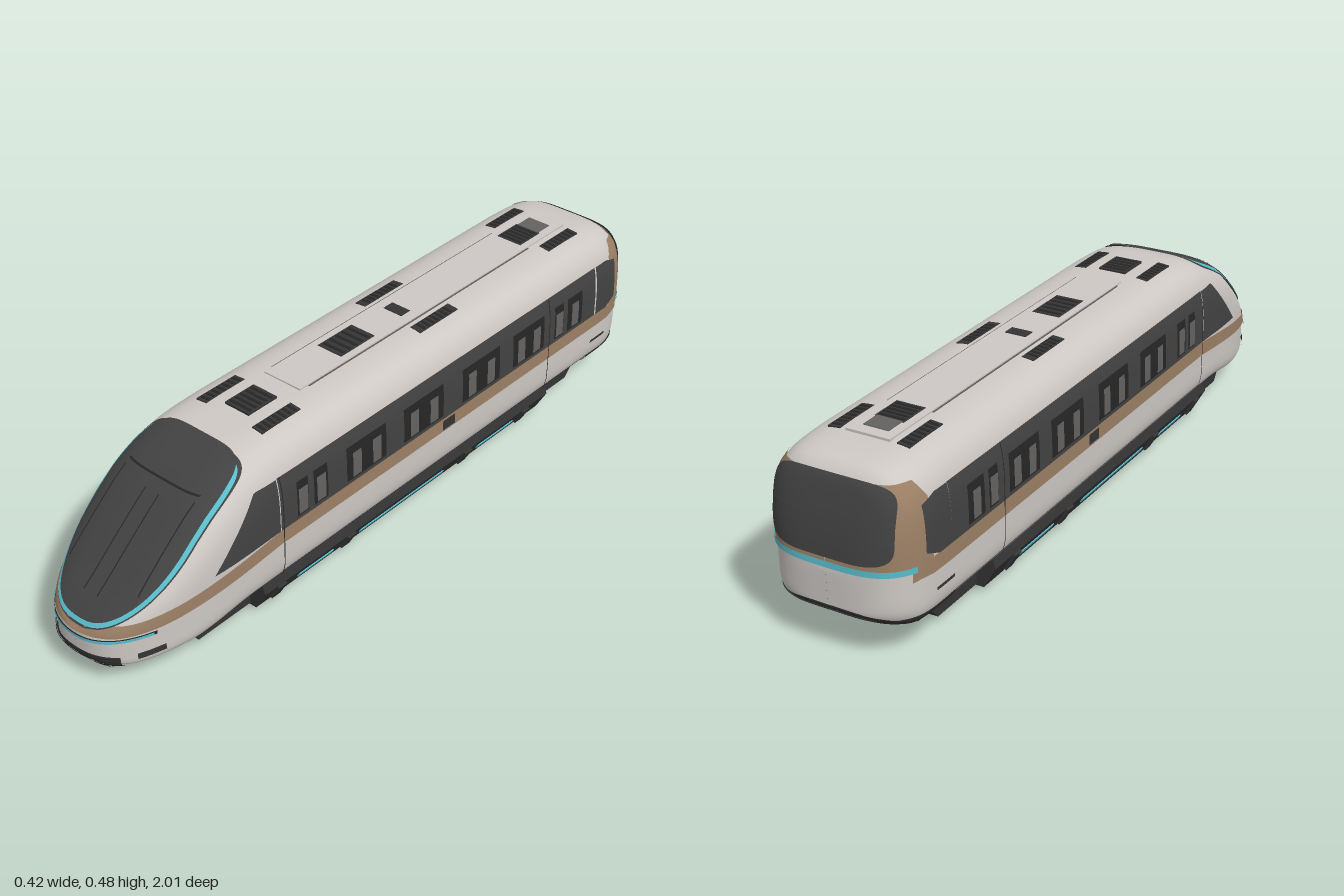
import * as THREE from 'three';
import { ParametricGeometry } from 'three/addons/geometries/ParametricGeometry.js';

const paint = (name, color) => {
  const m = new THREE.MeshStandardMaterial({ color, side: THREE.DoubleSide });
  m.name = name;
  return m;
};

// Smooth monotone curve through [z, value] pairs with ascending z
function curve(pts) {
  const d = pts.slice(1).map((p, i) => (p[1] - pts[i][1]) / (p[0] - pts[i][0]));
  const m = pts.map((p, i) => {
    if (i === 0) return d[0];
    if (i === d.length) return d[i - 1];
    return d[i - 1] * d[i] <= 0 ? 0 : (2 * d[i - 1] * d[i]) / (d[i - 1] + d[i]);
  });
  return z => {
    if (z <= pts[0][0]) return pts[0][1];
    for (let i = 0; i < d.length; i++) {
      const [a, ya] = pts[i], [b, yb] = pts[i + 1];
      if (z > b) continue;
      const h = b - a, t = (z - a) / h, s = 1 - t;
      return ya * (1 + 2 * t) * s * s + h * m[i] * t * s * s + yb * t * t * (3 - 2 * t) - h * m[i + 1] * t * t * s;
    }
    return pts[pts.length - 1][1];
  };
}

// Hull: roof line, floor line and half width along z, with rounded sections
const roof = curve([[-1, .22], [-.99, .3], [-.975, .37], [-.95, .438], [-.92, .463], [-.85, .474], [-.75, .478],
  [.4, .478], [.53, .472], [.6, .453], [.7, .405], [.8, .328], [.9, .243], [.97, .185], [1, .15]]);
const floor = curve([[-1, .13], [-.99, .118], [-.975, .108], [-.95, .095], [-.9, .08], [.6, .08], [.8, .06],
  [.93, .06], [.97, .067], [1, .085]]);
const width = z => {
  let k = 1;
  if (z > .58) k = Math.max(0, 1 - ((z - .58) / .42) ** 2.5) ** .4;
  if (z < -.82) k = Math.max(0, 1 - ((-.82 - z) / .18) ** 3) ** (1 / 3);
  return Math.max(1e-4, .2 * k);
};
const middle = z => floor(z) + .35 * (roof(z) - floor(z));
const rise = (z, y) => (y > middle(z) ? (y - middle(z)) / (roof(z) - middle(z)) : (y - middle(z)) / (middle(z) - floor(z)));
const power = t => (t > 0 ? 4.2 : 6);
const sideX = (z, y) => {
  const t = rise(z, y), n = power(t);
  return width(z) * Math.max(0, 1 - Math.abs(t) ** n) ** (1 / n);
};
const field = (x, y, z) => {
  const t = rise(z, y), n = power(t);
  return Math.abs(x / width(z)) ** n + Math.abs(t) ** n - 1;
};
// Position of the skin along z for a given x, y
function endZ(x, y, inside, outside) {
  for (let i = 0; i < 40; i++) {
    const mid = (inside + outside) / 2;
    if (field(x, y, mid) < 0) inside = mid; else outside = mid;
  }
  return inside;
}
// Lift a skin point off the hull along its normal (straight out at the blunt tips)
function lift(target, x, y, z, off) {
  const e = 1e-4;
  if (Math.abs(z) > .988) target.set(0, 0, Math.sign(z));
  else target.set(field(x + e, y, z) - field(x - e, y, z), field(x, y + e, z) - field(x, y - e, z),
    field(x, y, z + e) - field(x, y, z - e)).normalize();
  target.multiplyScalar(off);
  target.x += x; target.y += y; target.z += z;
}
const spow = (c, p) => Math.sign(c) * Math.abs(c) ** p;

export function createModel() {
  const model = new THREE.Group();
  model.name = 'railcar';
  const white = paint('warmWhite', 0xcdc8c4), tan = paint('tan', 0x9c8066), cyan = paint('cyan', 0x58bccb),
    glass = paint('darkGlass', 0x424242), under = paint('underbodyGrey', 0x343434),
    black = paint('black', 0x262626), grey = paint('paneGrey', 0x646260);

  const add = (name, geo, mat) => {
    const mesh = new THREE.Mesh(geo, mat);
    mesh.name = name;
    model.add(mesh);
    return mesh;
  };
  const surface = (name, mat, nu, nv, fn) => {
    const g = new ParametricGeometry(fn, nu, nv);
    g.computeVertexNormals();
    return add(name, g, mat);
  };
  const box = (name, mat, w, h, d, x, y, z) => {
    const m = add(name, new THREE.BoxGeometry(w, h, d), mat);
    m.position.set(x, y, z);
    return m;
  };
  // Panel on both flanks; end = 1 or -1 wraps it round to the centre of that end
  const flank = (name, mat, z0, z1, lo, hi, off = .003, end = 0, nu = 24) => {
    for (const s of [1, -1]) surface(name, mat, nu, 8, (u, v, p) => {
      const k = end ? Math.sin(u * Math.PI / 2) : u;
      const zg = THREE.MathUtils.lerp(z0, z1, k);
      const a = typeof lo === 'function' ? lo(zg) : lo, b = typeof hi === 'function' ? hi(zg) : hi;
      const y = a + (b - a) * v;
      const z = end ? THREE.MathUtils.lerp(z0, endZ(0, y, end * .5, end), k) : zg;
      lift(p, s * sideX(z, y), y, z, off);
    });
  };
  // Rounded panel on the front or rear skin
  const oval = (name, mat, hw, top, mid, bottom, nTop, nBot, off, inside, outside) =>
    surface(name, mat, 18, 96, (u, v, p) => {
      const a = v * Math.PI * 2, n = Math.sin(a) > 0 ? nTop : nBot;
      const x = u * hw * spow(Math.cos(a), 2 / n);
      const y = mid + u * (Math.sin(a) > 0 ? top - mid : mid - bottom) * spow(Math.sin(a), 2 / n);
      lift(p, x, y, endZ(x, y, inside, outside), off);
    });
  // Four-sided panel on the front skin
  const nose = (name, mat, x0, x1, yLo, yHi, off, inside = .4, bend = 0) =>
    surface(name, mat, 40, 10, (u, v, p) => {
      const x = x0 + (x1 - x0) * u, y = yLo + (yHi - yLo) * v + bend * x * x;
      lift(p, x, y, endZ(x, y, inside, 1), off);
    });

  // Hull shell and dark belly
  const shell = (name, mat, a0, a1, nu) => surface(name, mat, nu, 130, (u, v, p) => {
    const z = Math.sin((v - .5) * Math.PI), a = a0 + (a1 - a0) * u, sn = Math.sin(a), n = power(sn);
    const t = spow(sn, 2 / n), m = middle(z);
    p.set(width(z) * spow(Math.cos(a), 2 / n), m + t * (t > 0 ? roof(z) - m : m - floor(z)), z);
  });
  const split = Math.asin(.86 ** 3);
  shell('bodyShell', white, -split, Math.PI + split, 84);
  shell('belly', under, Math.PI + split, 2 * Math.PI - split, 24);
  flank('tailBelly', under, -.78, -1, .095, .118, .003, -1, 40);

  // Waist stripe sweeping into the nose
  const stripe = curve([[.5, .23], [.75, .207], [.9, .184], [.97, .167], [1, .16]]);
  const stripeHalf = curve([[.5, .021], [.85, .02], [1, .01]]);
  flank('waistStripe', tan, -.93, .5, .208, .25, .003);
  flank('noseStripe', tan, .5, 1, z => stripe(z) - stripeHalf(z), z => stripe(z) + .02, .003, 1, 48);

  // Windscreen with dark edge, coloured rim, panel lines and head display
  oval('windscreenEdge', glass, .165, .466, .34, .162, 4.5, 2.4, .0035, .5, 1);
  oval('windscreenRim', cyan, .162, .463, .34, .165, 4.5, 2.4, .005, .5, 1);
  oval('windscreen', glass, .153, .468, .34, .174, 4.5, 2.4, .007, .5, 1);
  for (const s of [1, -1]) {
    nose('windscreenLine', black, s * .021, s * .024, .215, .39, .009);
    nose('windscreenLine', black, s * .114, s * .117, .24, .4, .009);
  }
  nose('displayEdge', black, -.117, .117, .408, .411, .009);

  // Nose light line, grille and corner intakes
  nose('noseSlit', black, -.158, .158, .134, .144, .004, .8, .75);
  nose('noseLightLine', cyan, -.155, .155, .135, .1425, .006, .8, .75);
  nose('grille', under, -.11, .11, .067, .1, .004, .85);
  for (let i = 0; i < 4; i++) nose('grilleSlat', black, -.108, .108, .07 + i * .008, .073 + i * .008, .007, .85);
  for (const s of [1, -1]) nose('cornerIntake', under, s * .135, s * .165, .073, .09, .004, .8, .9);

  // Side glazing
  flank('cabSideWindow', glass, .509, .725, z => .25 - (z - .509) * .03,
    z => Math.min(.398, .245 + (.725 - z) * 1.05), .004);
  flank('windowBand', glass, -.797, .506, .25, .4, .004, 0, 50);
  flank('rearQuarterWindow', glass, -.895, -.8, z => .252 + Math.max(0, -.85 - z) * .4,
    z => .4 - Math.max(0, -.85 - z) * .3, .006);
  const panes = [[.45, .41], [.39, .34], [.27, .12], [.05, -.11], [-.19, -.35], [-.41, -.55], [-.6, -.64], [-.66, -.73]];
  for (const [a, b] of panes) {
    flank('windowPane', black, b, a, .262, .362, .006, 0, 6);
    // Seats seen through the pane
    const n = a - b > .1 ? 2 : 1;
    for (let i = 0; i < n; i++) {
      const c = b + (a - b) * (i + .5) / n;
      flank('seatBack', grey, c - .016, c + .016, .268, .34, .008, 0, 4);
    }
  }
  for (const z of [.5, -.575]) flank('doorSeam', black, z - .0015, z + .0015, .11, .4, .007, 0, 2);
  flank('sillSeam', black, -.8, .5, .117, .119, .003);
  flank('sideSocket', under, -.16, -.11, .215, .245, .006, 0, 3);
  flank('rearMarker', under, -.86, -.79, .158, .166, .003, 0, 4);

  // Rear end: tan surround, light line and window
  flank('rearSurround', tan, -.87, -1, .24, z => Math.min(.438, .4 + (-.87 - z) * 1.2), .004, -1, 48);
  flank('rearLightLine', cyan, -.92, -1, .233, .248, .006, -1, 48);
  oval('rearWindow', glass, .16, .44, .35, .258, 5, 6, .008, -.6, -1);

  // Roof walkway, hatches and vents
  box('roofWalkway', white, .12, .008, 1.1, 0, .478, -.27);
  for (const s of [1, -1]) {
    box('roofSeam', grey, .003, .004, .9, s * .063, .478, -.2);
    for (const z of [.4, -.2, -.75]) {
      const vent = new THREE.Group();
      vent.name = 'sideVent';
      vent.position.set(s * .094, .4715, z);
      vent.rotation.z = -s * .09;
      vent.add(box('ventPanel', under, .034, .01, z === -.2 ? .155 : .135, 0, 0, 0));
      for (let i = -3; i <= 3; i++) vent.add(box('ventSlat', black, .028, .002, .008, 0, .0055, i * .018));
      model.add(vent);
    }
  }
  for (const [z, d] of [[.39, .1], [.04, .13], [-.69, .09]]) {
    box('roofVent', under, .08, .012, d, 0, .477, z);
    for (let i = -2; i <= 2; i++) box('roofVentSlat', black, .07, .002, .008, 0, .4835, z + i * d / 5.5);
  }
  box('roofSensor', under, .06, .006, .035, 0, .481, -.16);
  box('roofHatch', grey, .07, .006, .055, 0, .481, -.76);

  // Equipment skirt with sloping flanks, and the underframe
  const extrudeZ = (name, pts, z0, z1) => {
    const g = new THREE.ExtrudeGeometry(new THREE.Shape(pts.map(p => new THREE.Vector2(...p))),
      { depth: z1 - z0, bevelEnabled: false });
    g.translate(0, 0, z0);
    return add(name, g, under);
  };
  extrudeZ('equipmentSkirt', [[-.16, .016], [.16, .016], [.194, .075], [.185, .1], [-.185, .1], [-.194, .075]], -.6, .56);
  const keel = extrudeZ('underframe', [[-.77, .02], [.74, .02], [.78, .08], [.7, .1], [-.7, .1], [-.83, .085]], -.14, .14);
  keel.rotation.y = -Math.PI / 2;
  for (const s of [1, -1]) {
    for (const [z, d] of [[.36, .13], [.02, .34], [-.38, .16]]) {
      const strip = box('skirtLightStrip', cyan, .005, .013, d, s * .177, .045, z);
      strip.rotation.z = -s * .52;
    }
    for (const z of [.5, .24, -.24, -.5]) {
      const bracket = box('skirtBracket', under, .016, .055, .03, s * .178, .05, z);
      bracket.rotation.z = -s * .52;
    }
    for (const z of [.73, -.77]) {
      box('couplerFoot', under, .035, .03, .04, s * .025, .017, z);
      box('guardFoot', under, .025, .026, .04, s * .085, .018, z);
    }
    box('bogiePlate', under, .03, .02, .15, s * .085, .011, .38);
    box('bogiePlate', under, .03, .016, .15, s * .085, .014, -.4);
  }
  return model;
}
